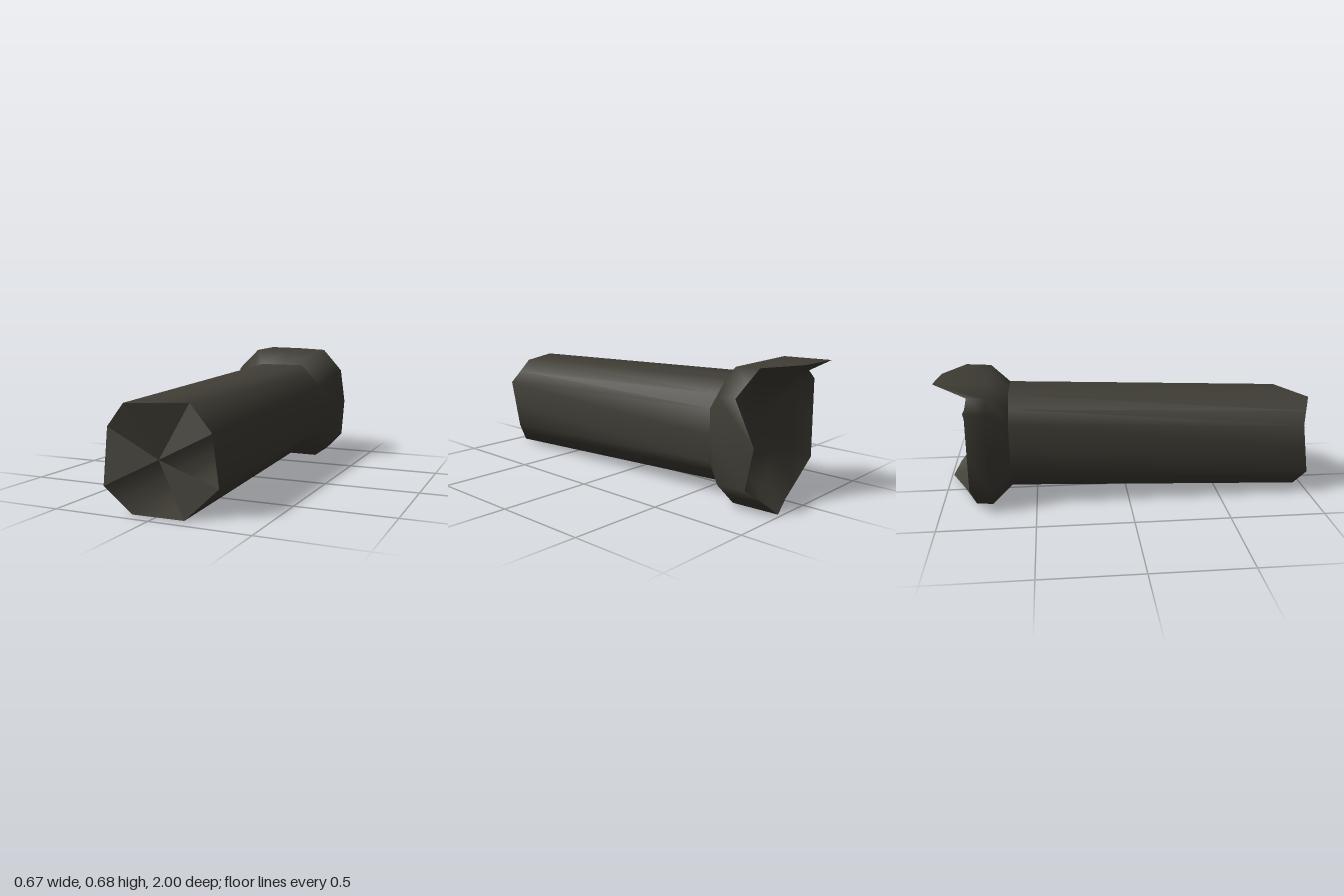
import * as THREE from 'three';

// Corner order is clockwise seen from the front, starting at the upper left.
const pipeFront = [[-0.115, 0.522, 1], [0.15, 0.522, 0.88], [0.27, 0.395, 0.9], [0.27, 0.135, 0.835],
  [0.15, 0.005, 0.94], [-0.11, 0.008, 0.955], [-0.243, 0.132, 0.98], [-0.24, 0.402, 0.945]];
const flangeOutline = [[-0.205, 0.67], [0.205, 0.665], [0.333, 0.54], [0.327, 0.122],
  [0.2, 0.001], [-0.213, 0.004], [-0.333, 0.132], [-0.33, 0.548]];
// Depth of the broken rim at each corner and edge middle
const rimDepth = [-1, -0.98, -0.87, -0.85, -0.83, -0.935, -0.89, -0.95,
  -0.99, -0.9, -0.82, -0.83, -0.84, -0.84, -0.84, -0.83];

// Adds the middle of every edge to a ring
function withMiddles(ring) {
  return ring.flatMap((p, i) => {
    const q = ring[(i + 1) % ring.length];
    return [p, p.map((v, k) => (v + q[k]) / 2)];
  });
}

// Smooth skin through rings of equal length, optionally closed by an end point
function loft(rings, endPoint) {
  const n = rings[0].length;
  const positions = rings.flat(2);
  const index = [];
  for (let r = 0; r < rings.length - 1; r++) {
    for (let i = 0; i < n; i++) {
      const a = r * n + i, b = r * n + (i + 1) % n;
      index.push(a, b, b + n, a, b + n, a + n);
    }
  }
  if (endPoint) {
    const base = (rings.length - 1) * n;
    positions.push(...endPoint);
    for (let i = 0; i < n; i++) index.push(base + i, base + (i + 1) % n, base + n);
  }
  const geometry = new THREE.BufferGeometry();
  geometry.setAttribute('position', new THREE.Float32BufferAttribute(positions, 3));
  geometry.setIndex(index);
  geometry.computeVertexNormals();
  return geometry;
}

export function createModel() {
  const group = new THREE.Group();
  const darkMetal = new THREE.MeshStandardMaterial({ color: 0x3f3d35, side: THREE.DoubleSide });
  darkMetal.name = 'darkMetal';
  const add = (name, geometry) => {
    const mesh = new THREE.Mesh(geometry, darkMetal);
    mesh.name = name;
    group.add(mesh);
  };

  // Slightly tilted pipe, flaring into a broad collar with a broken rim
  const front = withMiddles(pipeFront);
  const neck = front.map(([x, y]) => [x - 0.013, y + 0.065, -0.63]);
  const collar = withMiddles(flangeOutline.map(([x, y]) => [x, y, -0.735]));
  const rim = collar.map(([x, y], i) => [x, y + (y > 0.6 ? 0.008 : 0.006), rimDepth[i]]);
  add('pipe', loft([front, neck]));
  add('collar', loft([neck, collar, rim]));

  // Hollow inside the collar
  const shrink = (scale, z) => collar.map(([x, y]) => [x * scale, 0.338 + (y - 0.338) * scale, z]);
  const inner = shrink(0.72, -0.79).map(([x, y, z], i) => [x, y, z + (rimDepth[i] + 0.87) * 0.25]);
  add('collarHollow', loft([rim, inner, shrink(0.4, -0.76)], [0, 0.338, -0.75]));

  // Jagged front cap of facets; three facets are missing
  const missing = [2, 4, 5];
  const centre = [0.013, 0.263, 0.92];
  const facets = [];
  pipeFront.forEach((p, i) => {
    if (!missing.includes(i)) facets.push(...centre, ...pipeFront[(i + 1) % 8], ...p);
  });
  const cap = new THREE.BufferGeometry();
  cap.setAttribute('position', new THREE.Float32BufferAttribute(facets, 3));
  cap.computeVertexNormals();
  add('brokenCap', cap);

  return group;
}
